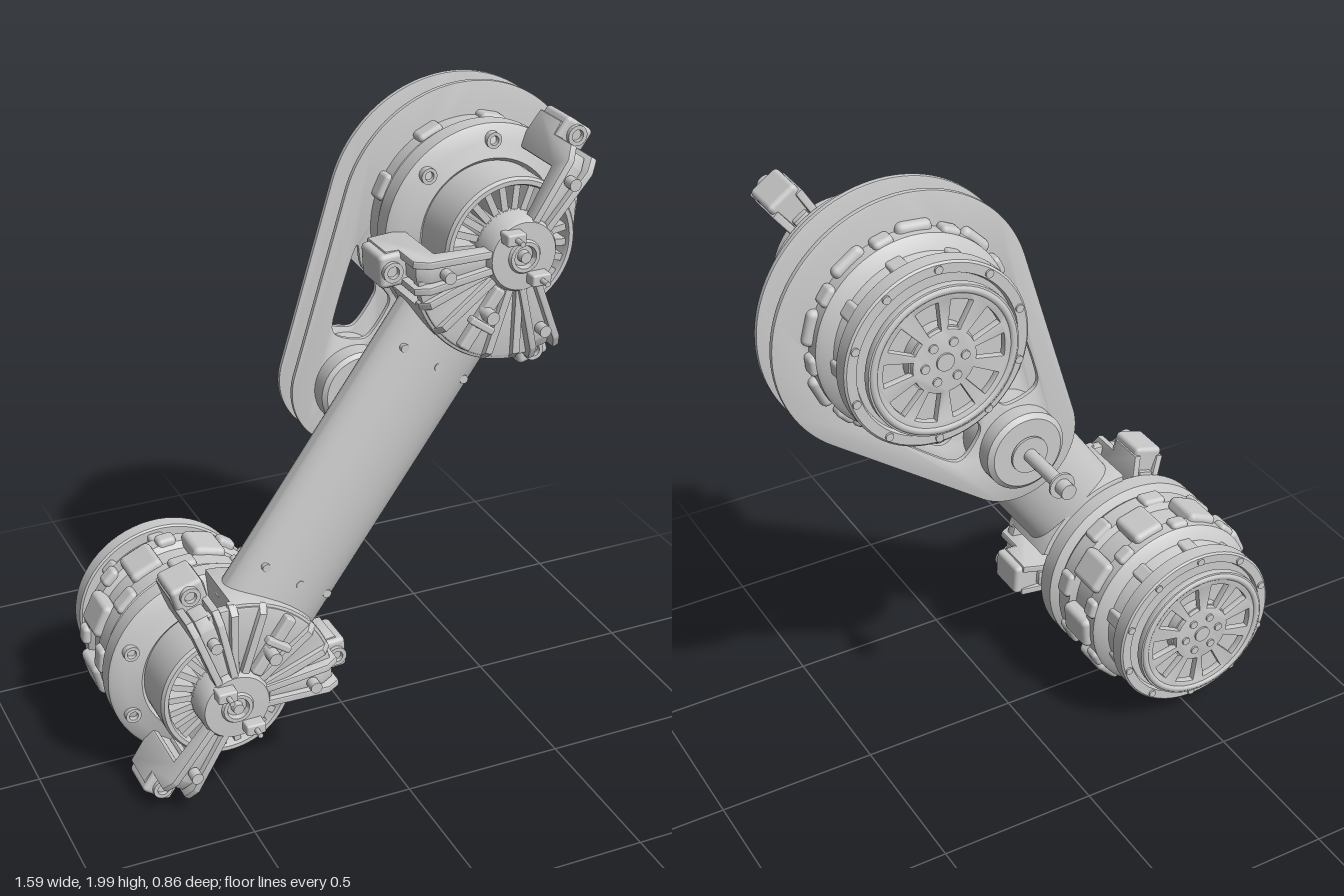
import * as THREE from 'three';
import { toCreasedNormals } from 'three/addons/utils/BufferGeometryUtils.js';
import { RoundedBoxGeometry } from 'three/addons/geometries/RoundedBoxGeometry.js';

const grey = new THREE.MeshStandardMaterial({ color: 0xcccccc });
const V2 = (x, y) => new THREE.Vector2(x, y);
const DEG = Math.PI / 180;

function add(parent, name, geo, x = 0, y = 0, z = 0, rz = 0) {
  const m = new THREE.Mesh(geo, grey);
  m.name = name;
  m.position.set(x, y, z);
  m.rotation.z = rz;
  parent.add(m);
  return m;
}
// turned solid about the z axis, profile of [radius, z] from back to front
const turned = (pts, seg = 64) =>
  toCreasedNormals(new THREE.LatheGeometry(pts.map(p => V2(...p)), seg).rotateX(Math.PI / 2), 0.6);
// plain cylinder along z from z0 to z1
const rod = (r, z0, z1, seg = 24) =>
  new THREE.CylinderGeometry(r, r, z1 - z0, seg).rotateX(Math.PI / 2).translate(0, 0, (z0 + z1) / 2);
// shape in the x-y plane pushed from z0 to z1
const plate = (shape, z0, z1, bevel = 0) =>
  toCreasedNormals(new THREE.ExtrudeGeometry(shape, {
    depth: z1 - z0 - 2 * bevel, bevelEnabled: bevel > 0, bevelSize: bevel, bevelOffset: -bevel,
    bevelThickness: bevel, bevelSegments: 2, curveSegments: 32,
  }).translate(0, 0, z0 + bevel), 0.6);
// side profile [radius, z] given a width across y
const sideProfile = (pts, w) =>
  plate(new THREE.Shape(pts.map(p => V2(...p))), -w / 2, w / 2, 0.006).rotateX(Math.PI / 2);

// ring segment between two radii and two angles
function sector(r0, r1, a0, a1, Type = THREE.Shape) {
  const s = new Type();
  s.absarc(0, 0, r1, a0, a1, false);
  s.absarc(0, 0, r0, a1, a0, true);
  s.closePath();
  return s;
}

// bracket arm: two rails with a sunk web, an upright and a bolted foot
function bracketArm(parent, angle) {
  const arm = new THREE.Group();
  arm.name = 'bracketArm';
  arm.rotation.z = angle;
  const rail = [[0.07, 0.31], [0.07, 0.355], [0.29, 0.36], [0.33, 0.335], [0.33, 0.24],
    [0.37, 0.24], [0.37, 0.12], [0.25, 0.1], [0.25, 0.3]];
  const web = [[0.07, 0.31], [0.07, 0.335], [0.28, 0.34], [0.315, 0.32], [0.315, 0.11], [0.26, 0.1], [0.26, 0.31]];
  for (const s of [-1, 1]) {
    const m = add(arm, 'armRail', sideProfile(rail, 0.024), 0, s * 0.018, 0);
    m.rotation.z = s * 0.07;
  }
  add(arm, 'armWeb', sideProfile(web, 0.05));
  add(arm, 'armFoot', new RoundedBoxGeometry(0.1, 0.1, 0.13, 2, 0.014), 0.343, 0, 0.19);
  add(arm, 'footBolt', turned([[0.03, 0.25], [0.03, 0.268], [0.018, 0.268], [0.016, 0.25], [0, 0.25]], 20), 0.358, 0);
  add(arm, 'armKnob', rod(0.018, 0.35, 0.385, 16), 0.24, 0);
  parent.add(arm);
}

// joint drive, local +x points along the tube
function jointDrive(name, x, y, angle) {
  const j = new THREE.Group();
  j.name = name;
  j.position.set(x, y, 0);
  j.rotation.z = angle;

  // main housing with two raised bands and the front flange
  add(j, 'housing', turned([[0, -0.28], [0.232, -0.28], [0.25, -0.21], [0.28, -0.195], [0.29, -0.185], [0.29, -0.14],
    [0.272, -0.125], [0.272, -0.05], [0.292, -0.04], [0.292, 0.02], [0.28, 0.035], [0.3, 0.045], [0.308, 0.05],
    [0.308, 0.105], [0.3, 0.112], [0.26, 0.125], [0.215, 0.14], [0.205, 0.13], [0, 0.13]], 72));
  // lugs around the housing
  for (let i = 0; i < 9; i++) {
    const a = (i * 40 + 20) * DEG, b = a + 20 * DEG;
    add(j, 'housingLug', new RoundedBoxGeometry(0.05, 0.105, 0.13, 2, 0.018),
      0.286 * Math.cos(a), 0.286 * Math.sin(a), -0.1, a);
    add(j, 'smallLug', new RoundedBoxGeometry(0.04, 0.06, 0.05, 2, 0.014),
      0.286 * Math.cos(b), 0.286 * Math.sin(b), -0.16, b);
    add(j, 'smallLug', new RoundedBoxGeometry(0.04, 0.08, 0.06, 2, 0.014),
      0.286 * Math.cos(b), 0.286 * Math.sin(b), -0.01, b);
    add(j, 'taperRib', new RoundedBoxGeometry(0.03, 0.05, 0.08, 2, 0.01),
      0.243 * Math.cos(b), 0.243 * Math.sin(b), -0.235, b);
  }

  // rear flange and spoked cap
  add(j, 'rearFlange', turned([[0, -0.312], [0.235, -0.312], [0.24, -0.325], [0.268, -0.325], [0.274, -0.32],
    [0.274, -0.275], [0.268, -0.27], [0, -0.27]]));
  for (let i = 0; i < 10; i++) {
    const a = i * 36 * DEG;
    add(j, 'flangeBolt', rod(0.012, -0.331, -0.3, 12), 0.255 * Math.cos(a), 0.255 * Math.sin(a));
  }
  add(j, 'rearHub', rod(0.1, -0.345, -0.3, 40));
  const wheel = new THREE.Shape().absarc(0, 0, 0.224, 0, Math.PI * 2, false);
  for (let i = 0; i < 5; i++) for (const s of [-1, 1]) {
    const a = (i * 72 + s * 17) * DEG;
    wheel.holes.push(sector(0.095, 0.18, a - 11 * DEG, a + 11 * DEG, THREE.Path));
  }
  add(j, 'spokedCap', plate(wheel, -0.36, -0.337, 0.003));
  add(j, 'capRim', new THREE.TorusGeometry(0.208, 0.012, 10, 64), 0, 0, -0.354);
  add(j, 'capCentre', rod(0.026, -0.366, -0.34));
  for (let i = 0; i < 6; i++) {
    const a = i * 60 * DEG;
    add(j, 'capBolt', rod(0.013, -0.366, -0.34, 12), 0.06 * Math.cos(a), 0.06 * Math.sin(a));
  }

  // slotted rotor inside the bracket
  add(j, 'rotorRing', turned([[0.18, 0.13], [0.205, 0.13], [0.205, 0.275], [0.198, 0.285], [0.185, 0.285],
    [0.18, 0.275], [0.18, 0.13]]));
  add(j, 'rotorCore', turned([[0, 0.12], [0.15, 0.12], [0.115, 0.2], [0.11, 0.28], [0, 0.28]], 48));
  for (let i = 0; i < 24; i++) {
    const a = i * 15 * DEG;
    add(j, 'rotorFin', new THREE.BoxGeometry(0.085, 0.02, 0.12), 0.145 * Math.cos(a), 0.145 * Math.sin(a), 0.215, a);
  }
  // screws on the flange face
  for (const a of [-100, 100, -148, 148]) {
    add(j, 'flangeScrew', turned([[0.024, 0.1], [0.024, 0.137], [0.014, 0.137], [0.012, 0.12], [0, 0.12]], 18),
      0.265 * Math.cos(a * DEG), 0.265 * Math.sin(a * DEG));
  }

  // centre hub, bolt and connector pins
  add(j, 'centreHub', turned([[0, 0.27], [0.11, 0.27], [0.108, 0.345], [0.1, 0.358], [0.05, 0.36], [0.045, 0.368],
    [0.034, 0.368], [0.03, 0.352], [0.018, 0.352], [0.016, 0.372], [0, 0.372]], 48));
  for (const [px, py] of [[0.03, 0.07], [-0.03, -0.075]]) {
    add(j, 'connectorBlock', new RoundedBoxGeometry(0.06, 0.035, 0.05, 2, 0.006), px, py, 0.372, -angle);
    add(j, 'connectorPin', rod(0.008, 0.38, 0.428, 10), px, py);
  }

  // bracket arms and ribbed apron towards the tube
  for (const a of [180, 51, -51]) bracketArm(j, a * DEG);
  add(j, 'apron', plate(sector(0.09, 0.315, -48 * DEG, 48 * DEG), 0.295, 0.33, 0.006));
  add(j, 'apronWall', plate(sector(0.225, 0.325, -34 * DEG, 34 * DEG), 0.1, 0.325, 0.008));
  for (const a of [-34, -17, 17, 34]) {
    add(j, 'apronRib', sideProfile([[0.09, 0.3], [0.09, 0.347], [0.3, 0.347], [0.325, 0.32], [0.325, 0.3]], 0.026),
      0, 0, 0, a * DEG);
  }
  add(j, 'apronSpine', new RoundedBoxGeometry(0.2, 0.035, 0.04, 2, 0.008), 0.21, 0, 0.338);
  add(j, 'apronCrossbar', new RoundedBoxGeometry(0.022, 0.085, 0.03, 2, 0.006), 0.225, 0, 0.36);
  add(j, 'apronKnob', rod(0.02, 0.34, 0.395, 16), 0.19, 0);

  // tube screws
  for (const s of [-1, 0, 1]) {
    add(j, 'tubeScrew', rod(0.013, 0.24, 0.3 - Math.abs(s) * 0.024, 14), 0.395, s * 0.115);
  }
  return j;
}

// belt side plate around both pulleys, local +x points to the small pulley
function beltPlate() {
  const R = 0.39, r = 0.197, d = 0.606, t = Math.acos((R - r) / d);
  const s = new THREE.Shape();
  s.absarc(0, 0, R, t, Math.PI * 2 - t, false);
  s.absarc(d, 0, r, -t, t, false);
  s.closePath();
  for (const k of [-1, 1]) {
    const pts = [[0.245, 0.245], [0.29, 0.19], [0.325, 0.06], [0.37, 0.04], [0.46, 0.045], [0.49, 0.09], [0.5, 0.145], [0.46, 0.18]];
    const curve = new THREE.CatmullRomCurve3(pts.map(p => new THREE.Vector3(p[0], k * p[1], 0)), true, 'catmullrom', 0.4);
    s.holes.push(new THREE.Path(curve.getPoints(40).slice(0, -1).map(p => V2(p.x, p.y))));
  }
  return s;
}

export function createModel() {
  const model = new THREE.Group();
  model.name = 'armLink';
  const upper = V2(0.395, 1.608), lower = V2(-0.49, 0.35);
  const along = Math.atan2(upper.y - lower.y, upper.x - lower.x);
  model.add(jointDrive('upperJoint', upper.x, upper.y, along + Math.PI));
  model.add(jointDrive('lowerJoint', lower.x, lower.y, along));

  // oval link tube
  const length = upper.distanceTo(lower);
  const oval = new THREE.Shape().absellipse(0, 0, 0.1, 0.165, 0, Math.PI * 2, false);
  oval.holes.push(new THREE.Path().absellipse(0, 0, 0.088, 0.153, 0, Math.PI * 2, true));
  const mid = upper.clone().add(lower).multiplyScalar(0.5);
  add(model, 'linkTube', plate(oval, -length / 2 + 0.24, length / 2 - 0.24).rotateY(Math.PI / 2),
    mid.x, mid.y, 0.198, along);

  // belt side plates with a recessed web ring around each pulley
  const belt = new THREE.Group();
  belt.name = 'beltDrive';
  belt.position.set(0.4, 1.61, 0);
  belt.rotation.z = Math.atan2(1.115 - 1.61, 0.05 - 0.4);
  for (const z of [-0.133, -0.035]) add(belt, 'beltPlate', plate(beltPlate(), z - 0.008, z + 0.008, 0.003));

  // small drive motor with its shaft
  const motor = new THREE.Group();
  motor.name = 'driveMotor';
  motor.position.x = 0.606;
  add(motor, 'motorBody', turned([[0, -0.2], [0.11, -0.2], [0.125, -0.188], [0.125, 0.028], [0.113, 0.04], [0, 0.04]], 48));
  add(motor, 'motorCollar', turned([[0, -0.215], [0.058, -0.215], [0.058, -0.207], [0.04, -0.207], [0.04, -0.195], [0, -0.195]], 32));
  add(motor, 'motorShaft', rod(0.021, -0.4, -0.2));
  add(motor, 'shaftWasher', rod(0.04, -0.394, -0.386));
  add(motor, 'shaftTip', rod(0.024, -0.43, -0.394));
  belt.add(motor);
  model.add(belt);
  return model;
}
